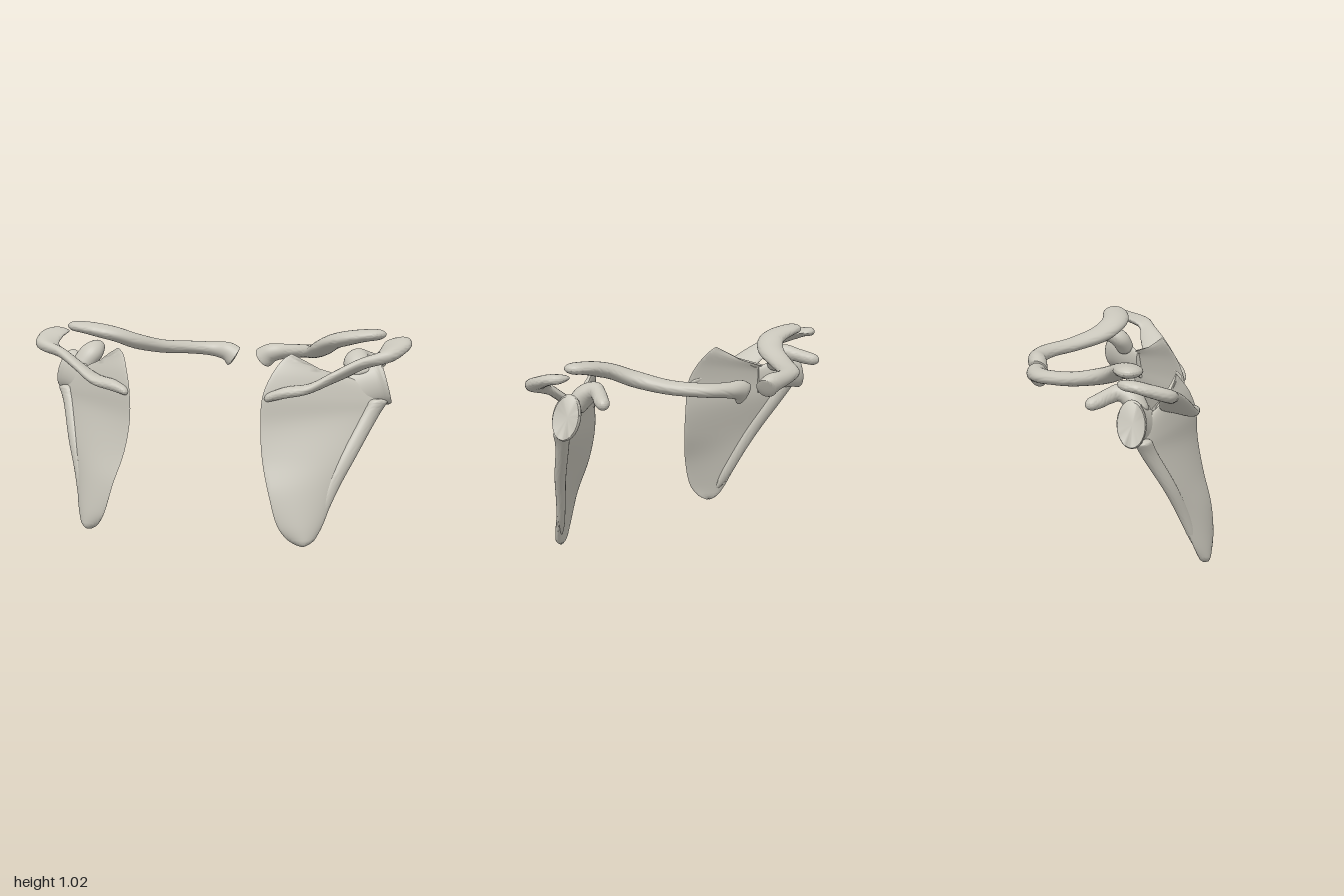
import * as THREE from 'three';
import { toCreasedNormals } from 'three/addons/utils/BufferGeometryUtils.js';

const bone = new THREE.MeshStandardMaterial({ color: 0xc9c6bb });
bone.name = 'bone';

// Lofts rounded sections. Each row: edge point P, edge point Q, half thickness.
// round: share of the length rounded off at each end; bend: bulge of the middle;
// skew: extra thickness toward Q; dish: depth of a hollow in the last cap.
function loft(rows, { rings = 48, sides = 28, round = [0, 0], bend = 0, skew = 0, dish = 0, mirror = 1 } = {}) {
  const curve = f => new THREE.CatmullRomCurve3(rows.map(f), false, 'catmullrom', 0.5);
  const P = curve(r => new THREE.Vector3(r[0], r[1], r[2]));
  const Q = curve(r => new THREE.Vector3(r[3], r[4], r[5]));
  const T = curve((r, i) => new THREE.Vector3(r[6], i, 0));
  const mid = v => P.getPoint(v).add(Q.getPoint(v)).multiplyScalar(0.5);
  const pos = [], index = [];
  const ease = (d, e) => (d < e ? Math.sqrt(Math.max(0.01, 1 - (1 - d / e) ** 2)) : 1);
  const put = p => pos.push(p.x * mirror, p.y, p.z);
  let tangent;
  for (let i = 0; i <= rings; i++) {
    const v = 0.5 - 0.5 * Math.cos(Math.PI * i / rings);
    const c = mid(v), a = Q.getPoint(v).sub(c);
    tangent = mid(Math.min(1, v + 0.01)).sub(mid(Math.max(0, v - 0.01))).normalize();
    const n = a.clone().cross(tangent).normalize();
    const s = ease(v, round[0]) * ease(1 - v, round[1]), t = T.getPoint(v).x;
    for (let j = 0; j < sides; j++) {
      const q = 2 * Math.PI * j / sides, u = Math.cos(q);
      const off = t * Math.sin(q) * (1 + skew * u) * s + bend * (1 - u * u);
      put(c.clone().addScaledVector(a, u * s).addScaledVector(n, off));
    }
  }
  for (let i = 0; i < rings; i++) for (let j = 0; j < sides; j++) {
    const k = (j + 1) % sides, a = i * sides, b = a + sides;
    index.push(a + j, a + k, b + j, a + k, b + k, b + j);
  }
  // end caps
  const first = pos.length / 3, last = rings * sides;
  const middle = base => {
    const p = new THREE.Vector3();
    for (let j = 0; j < sides; j++) p.add(new THREE.Vector3().fromArray(pos, (base + j) * 3));
    p.divideScalar(sides);
    p.x *= mirror;
    return p;
  };
  const start = middle(0), end = middle(last).addScaledVector(tangent, -dish);
  put(start);
  put(end);
  for (let j = 0; j < sides; j++) {
    const k = (j + 1) % sides;
    index.push(first, k, j, first + 1, last + j, last + k);
  }
  // turn faces outward if the enclosed volume is negative
  const pt = i => new THREE.Vector3().fromArray(pos, i * 3);
  let volume = 0;
  for (let i = 0; i < index.length; i += 3) volume += pt(index[i]).dot(pt(index[i + 1]).cross(pt(index[i + 2])));
  if (volume < 0) index.reverse();
  const g = new THREE.BufferGeometry();
  g.setAttribute('position', new THREE.Float32BufferAttribute(pos, 3));
  g.setIndex(index);
  return toCreasedNormals(g, 0.9);
}

const parts = {
  // S-shaped collar bone, inner end first
  collarBone: [[
    [0.062, 0.815, -0.355, 0.095, 0.835, -0.445, 0.06],
    [0.12, 0.855, -0.36, 0.135, 0.855, -0.458, 0.05],
    [0.2, 0.867, -0.362, 0.23, 0.867, -0.452, 0.038],
    [0.3, 0.875, -0.3, 0.35, 0.877, -0.405, 0.034],
    [0.39, 0.887, -0.18, 0.465, 0.89, -0.27, 0.035],
    [0.475, 0.92, -0.03, 0.555, 0.925, -0.14, 0.04],
    [0.56, 0.955, 0.05, 0.625, 0.965, -0.075, 0.038],
    [0.66, 0.978, 0.085, 0.69, 0.985, -0.055, 0.036],
    [0.77, 0.995, 0.085, 0.77, 1.0, -0.05, 0.03],
    [0.865, 1.005, 0.06, 0.865, 1.005, -0.03, 0.025],
  ], { rings: 72, round: [0.02, 0.06] }],
  // thin triangular blade, lower tip first
  blade: [[
    [0.53, 0.005, 0.415, 0.605, 0.005, 0.39, 0.018],
    [0.46, 0.1, 0.45, 0.65, 0.1, 0.345, 0.018],
    [0.412, 0.25, 0.445, 0.7, 0.27, 0.275, 0.016],
    [0.365, 0.41, 0.408, 0.77, 0.43, 0.2, 0.014],
    [0.345, 0.57, 0.38, 0.84, 0.61, 0.1, 0.014],
    [0.35, 0.71, 0.37, 0.86, 0.68, 0.07, 0.014],
    [0.38, 0.81, 0.335, 0.83, 0.745, 0.07, 0.014],
    [0.42, 0.885, 0.285, 0.75, 0.78, 0.1, 0.014],
    [0.46, 0.918, 0.26, 0.66, 0.79, 0.15, 0.01],
  ], { rings: 64, sides: 40, round: [0.05, 0], bend: 0.012, skew: 0.3 }],
  // thick outer border of the blade
  outerBorder: [[
    [0.57, 0.06, 0.385, 0.64, 0.08, 0.355, 0.016],
    [0.64, 0.27, 0.31, 0.705, 0.27, 0.27, 0.022],
    [0.7, 0.43, 0.24, 0.775, 0.43, 0.195, 0.027],
    [0.77, 0.6, 0.15, 0.85, 0.61, 0.09, 0.032],
    [0.81, 0.7, 0.1, 0.895, 0.69, 0.055, 0.04],
  ], { round: [0.15, 0.05] }],
  // neck flaring to the hollow shoulder socket
  socket: [[
    [0.7, 0.64, 0.16, 0.68, 0.79, 0.14, 0.018],
    [0.78, 0.66, 0.1, 0.75, 0.83, 0.09, 0.035],
    [0.845, 0.67, 0.055, 0.8, 0.865, 0.045, 0.055],
    [0.885, 0.664, 0.033, 0.83, 0.88, 0.03, 0.071],
    [0.9, 0.672, 0.028, 0.843, 0.872, 0.025, 0.066],
  ], { dish: 0.022 }],
  // ridge across the blade, opening out into the flat shoulder tip
  spineAndShoulderTip: [[
    [0.36, 0.73, 0.355, 0.36, 0.69, 0.378, 0.016],
    [0.46, 0.755, 0.3, 0.45, 0.725, 0.378, 0.024],
    [0.57, 0.765, 0.235, 0.57, 0.755, 0.358, 0.022],
    [0.68, 0.795, 0.175, 0.7, 0.835, 0.308, 0.022],
    [0.77, 0.845, 0.16, 0.82, 0.895, 0.255, 0.024],
    [0.85, 0.91, 0.155, 0.95, 0.915, 0.215, 0.03],
    [0.865, 0.95, 0.09, 0.998, 0.945, 0.11, 0.027],
    [0.865, 0.968, 0.03, 1.0, 0.965, 0.04, 0.024],
    [0.885, 0.975, -0.045, 0.975, 0.975, -0.035, 0.02],
  ], { rings: 72, round: [0.03, 0.06], skew: 0.35 }],
  // small hook above the socket
  hook: [[
    [0.72, 0.77, 0.1, 0.82, 0.81, 0.06, 0.045],
    [0.665, 0.85, 0.06, 0.79, 0.87, 0.02, 0.05],
    [0.665, 0.885, 0.0, 0.765, 0.89, -0.03, 0.042],
    [0.7, 0.878, -0.07, 0.785, 0.875, -0.07, 0.036],
    [0.74, 0.862, -0.13, 0.81, 0.86, -0.105, 0.034],
    [0.785, 0.845, -0.19, 0.835, 0.848, -0.165, 0.028],
  ], { round: [0.05, 0.1] }],
};

export function createModel() {
  const model = new THREE.Group();
  model.name = 'shoulderBones';
  for (const [side, mirror] of [['left', 1], ['right', -1]]) {
    const half = new THREE.Group();
    half.name = side + 'Shoulder';
    for (const [name, [rows, options]] of Object.entries(parts)) {
      const mesh = new THREE.Mesh(loft(rows, { ...options, mirror }), bone);
      mesh.name = name;
      half.add(mesh);
    }
    model.add(half);
  }
  return model;
}
